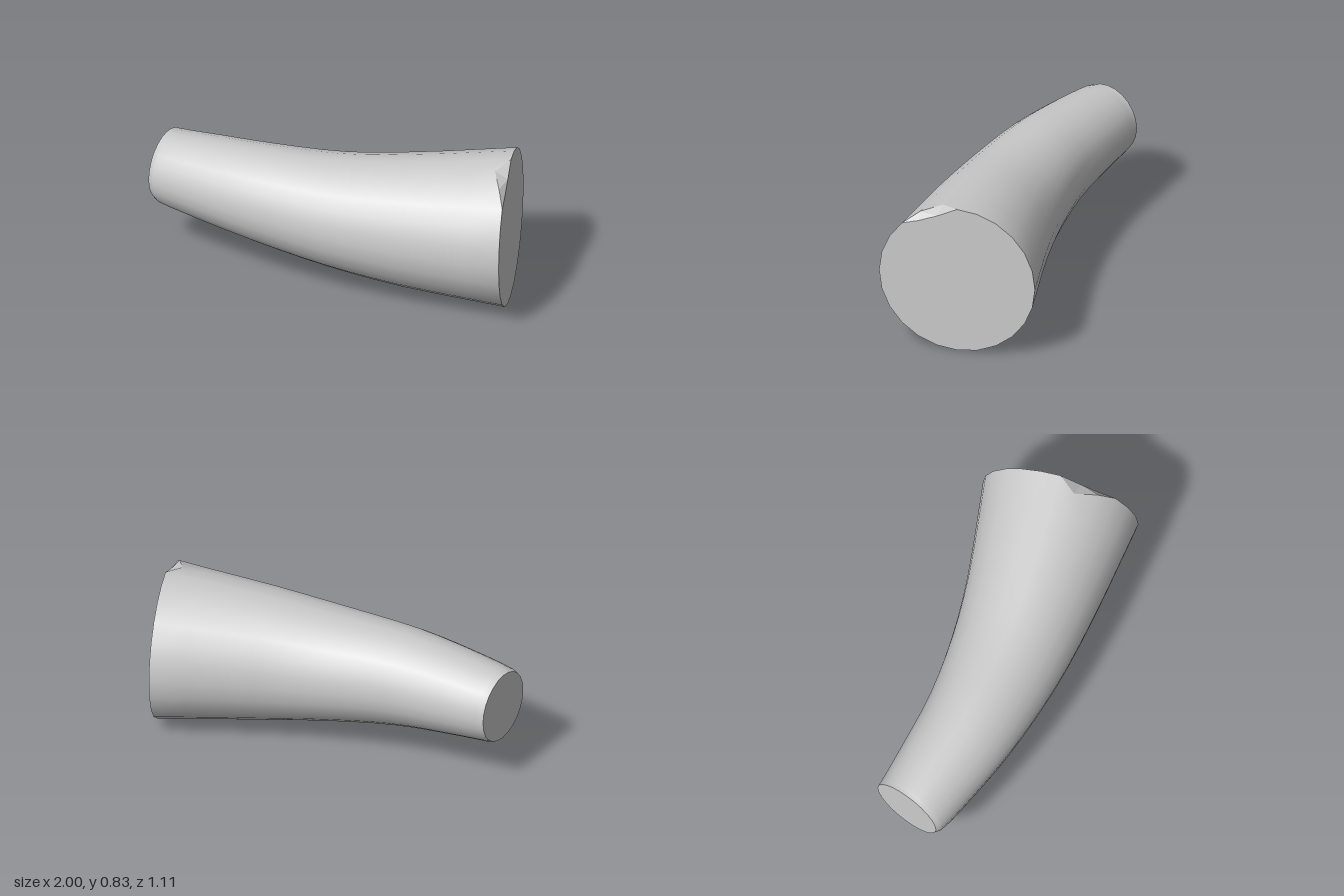
import * as THREE from 'three';

const SIDES = 24, STEPS = 18;

// Sections along the bend: back edge x,z, front edge x,z, lowest y, highest y
const SECTIONS = [
  [-1.0, 0.15, -0.975, 0.53, 0.25, 0.635],
  [-0.96, 0.142, -0.94, 0.545, 0.237, 0.64],
  [-0.75, 0.095, -0.7, 0.55, 0.21, 0.665],
  [-0.45, 0.02, -0.37, 0.533, 0.17, 0.693],
  [-0.12, -0.11, 0.05, 0.47, 0.11, 0.715],
  [0.18, -0.265, 0.45, 0.37, 0.055, 0.76],
  [0.64, -0.555, 0.995, 0.205, 0, 0.83],
];

const V = (x, y, z) => new THREE.Vector3(x, y, z);
const curve = (fn) => new THREE.CatmullRomCurve3(SECTIONS.map(fn));

// Elliptical ring spanned by its back, front, bottom and top
function ring(back, front, low, high) {
  const centre = back.clone().add(front).multiplyScalar(0.5);
  const half = front.clone().sub(back).multiplyScalar(0.5);
  return Array.from({ length: SIDES }, (_, j) => {
    const a = (j / SIDES) * Math.PI * 2;
    const p = centre.clone().addScaledVector(half, Math.cos(a));
    p.y = (low + high) / 2 + ((high - low) / 2) * Math.sin(a);
    return p;
  });
}

// Surface through successive rings
function loft(rings) {
  const index = [];
  for (let i = 0; i < rings.length - 1; i++) {
    for (let j = 0; j < SIDES; j++) {
      const k = (j + 1) % SIDES;
      const a = i * SIDES + j, b = a + SIDES, c = (i + 1) * SIDES + k, d = i * SIDES + k;
      index.push(a, b, c, a, c, d);
    }
  }
  const g = new THREE.BufferGeometry().setFromPoints(rings.flat());
  g.setIndex(index);
  g.computeVertexNormals();
  return g;
}

// Flat fan closing a ring
function cap(points, facesRight) {
  const centre = V(0, 0, 0);
  points.forEach((p) => centre.addScaledVector(p, 1 / SIDES));
  const tris = [];
  points.forEach((p, j) => {
    const q = points[(j + 1) % SIDES];
    tris.push(centre, ...(facesRight ? [q, p] : [p, q]));
  });
  const g = new THREE.BufferGeometry().setFromPoints(tris);
  g.computeVertexNormals();
  return g;
}

export function createModel() {
  const group = new THREE.Group();
  group.name = 'taperedLimb';
  const material = new THREE.MeshStandardMaterial({ color: 0xcccccc, side: THREE.DoubleSide });
  const add = (name, geometry) => {
    const mesh = new THREE.Mesh(geometry, material);
    mesh.name = name;
    group.add(mesh);
  };

  const back = curve((s) => V(s[0], 0, s[1]));
  const front = curve((s) => V(s[2], 0, s[3]));
  const heights = curve((s, i) => V(i, s[4], s[5]));
  const rings = [];
  for (let i = 0; i <= STEPS; i++) {
    const t = i / STEPS, h = heights.getPoint(t);
    rings.push(ring(back.getPoint(t), front.getPoint(t), h.y, h.z));
  }

  // Chipped notch at the top of the wide end
  const wallEnd = rings[STEPS];
  const capEdge = wallEnd.map((p) => p.clone());
  capEdge[4].y -= 0.04;
  capEdge[5].y -= 0.04;
  wallEnd[4].add(V(-0.03, 0, 0.01));
  wallEnd[5].add(V(-0.07, -0.006, 0.015));

  add('wall', loft(rings));
  add('narrowEnd', cap(rings[0], false));
  add('wideEnd', cap(capEdge, true));

  // Facets joining the notch to the end face
  const chip = [];
  for (let j = 3; j < 6; j++) {
    if (j > 3) chip.push(wallEnd[j], capEdge[j], capEdge[j + 1]);
    if (j < 5) chip.push(wallEnd[j], capEdge[j + 1], wallEnd[j + 1]);
  }
  const chipGeometry = new THREE.BufferGeometry().setFromPoints(chip);
  chipGeometry.computeVertexNormals();
  add('chip', chipGeometry);
  return group;
}
